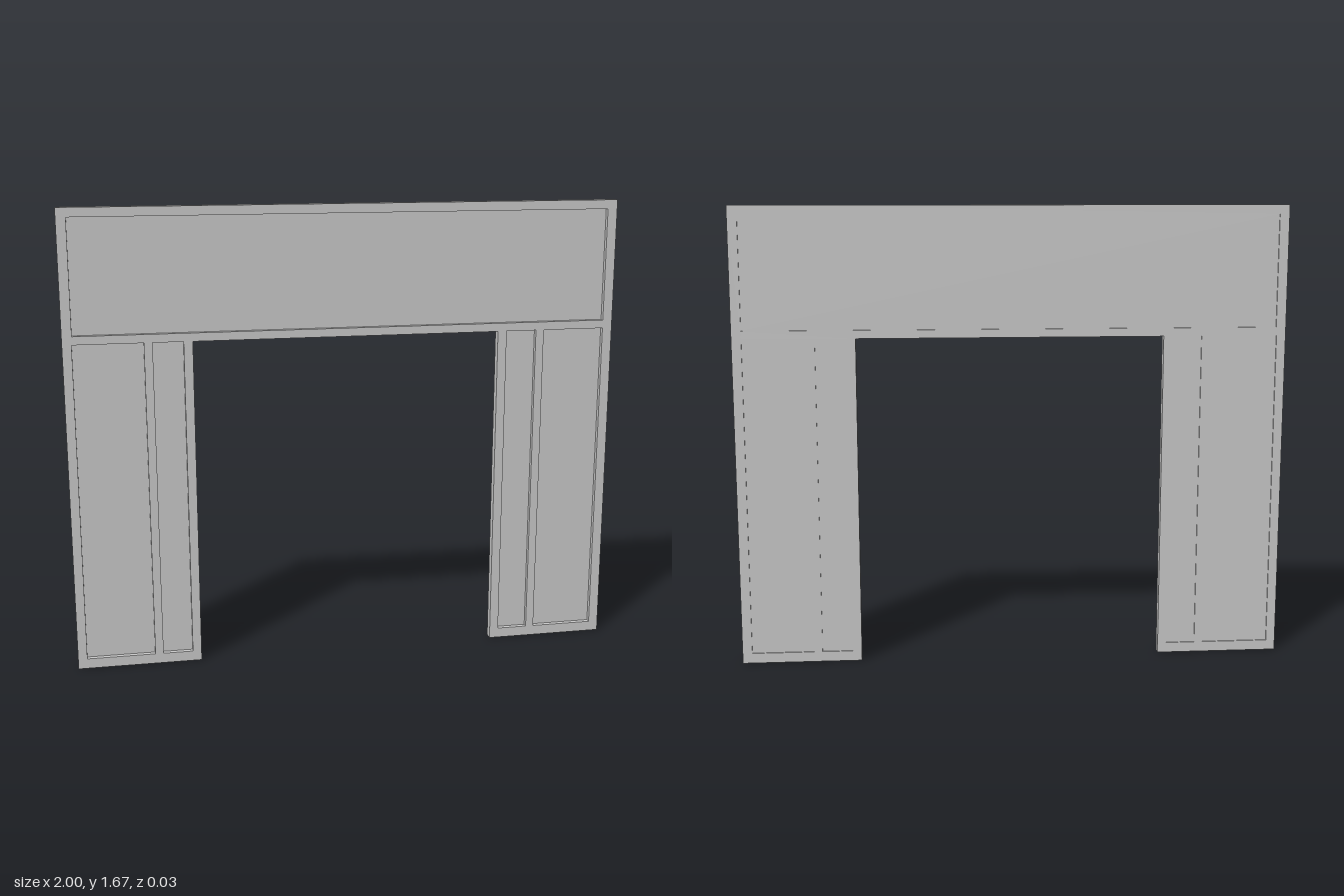
import * as THREE from 'three';

export function createModel() {
  const group = new THREE.Group();
  group.name = 'panelledSurround';
  const material = new THREE.MeshStandardMaterial({ color: 0xcccccc, flatShading: true });
  const depth = 0.032;

  // Recessed panels: name, left, right, bottom, top
  const panels = [
    ['headerPanel', -0.965, 0.965, 1.23, 1.637],
    ['rightOuterPanel', -0.967, -0.72, 0.037, 1.2],
    ['rightInnerPanel', -0.69, -0.582, 0.037, 1.2],
    ['leftInnerPanel', 0.595, 0.707, 0.037, 1.2],
    ['leftOuterPanel', 0.737, 0.965, 0.037, 1.2],
  ];

  // Frame outline around the doorway
  const outline = new THREE.Shape([
    [-1, 0], [-0.55, 0], [-0.55, 1.2], [0.562, 1.2],
    [0.562, 0], [1, 0], [1, 1.67], [-1, 1.67],
  ].map(([x, y]) => new THREE.Vector2(x, y)));

  for (const [name, x0, x1, y0, y1] of panels) {
    // Opening in the frame
    outline.holes.push(new THREE.Path([
      new THREE.Vector2(x0, y0), new THREE.Vector2(x0, y1),
      new THREE.Vector2(x1, y1), new THREE.Vector2(x1, y0),
    ]));
    // Thin panel, set deep from the front and shallow from the back
    const panel = new THREE.Mesh(new THREE.BoxGeometry(x1 - x0, y1 - y0, 0.009), material);
    panel.name = name;
    panel.position.set((x0 + x1) / 2, (y0 + y1) / 2, -0.0065);
    group.add(panel);
  }

  const frameGeometry = new THREE.ExtrudeGeometry(outline, { depth, bevelEnabled: false });
  frameGeometry.translate(0, 0, -depth / 2);
  const frame = new THREE.Mesh(frameGeometry, material);
  frame.name = 'frame';
  group.add(frame);
  return group;
}
